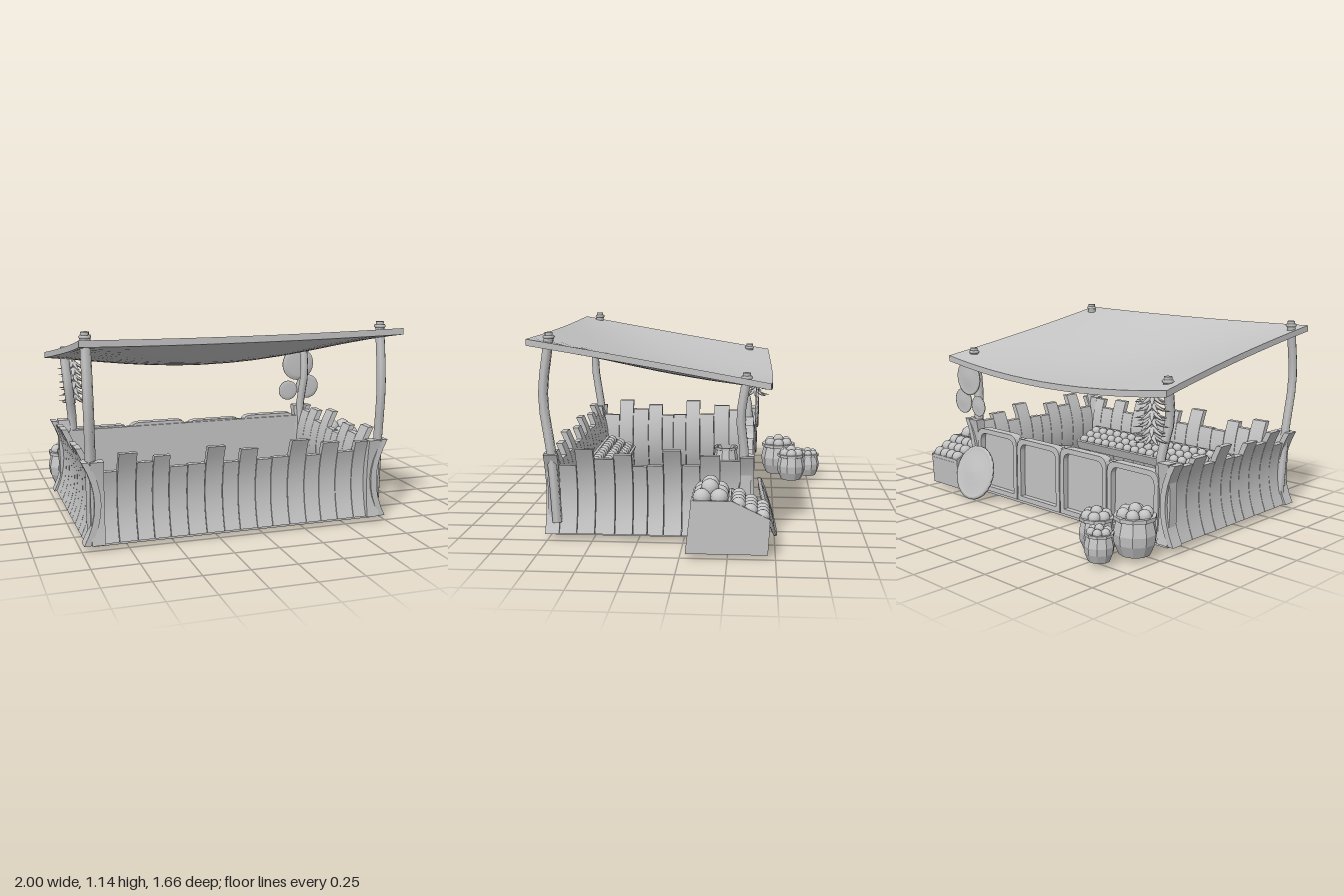
import * as THREE from 'three';

const gray = new THREE.MeshStandardMaterial({ color: 0xc4c4c4 });
gray.name = 'plain grey';
const facetMat = gray;

const V = (x, y, z) => new THREE.Vector3(x, y, z);

function add(parent, geo, name, x = 0, y = 0, z = 0) {
  const m = new THREE.Mesh(geo, facetMat);
  m.name = name;
  m.position.set(x, y, z);
  parent.add(m);
  return m;
}

function group(parent, name, x = 0, y = 0, z = 0) {
  const g = new THREE.Group();
  g.name = name;
  g.position.set(x, y, z);
  parent.add(g);
  return g;
}

const box = (w, h, d) => new THREE.BoxGeometry(w, h, d);
const ball = (r) => new THREE.SphereGeometry(r, 12, 8);

// Upright board from a to b whose outer face (+z) is pinched in at mid height
function plank(parent, a, b, top, bend, name = 'plank', depth = 0.035) {
  const bottom = 0.04, h = top - bottom;
  const geo = box(b - a - 0.003, h, depth).toNonIndexed();
  const g2 = new THREE.BoxGeometry(b - a - 0.003, h, depth, 1, 8, 1);
  geo.dispose();
  const p = g2.attributes.position;
  for (let i = 0; i < p.count; i++) {
    const t = (p.getY(i) + h / 2) / 0.44 * 2 - 1;
    p.setZ(i, p.getZ(i) - depth / 2 + bend * (t * t - 1));
  }
  g2.computeVertexNormals();
  return add(parent, g2, name, (a + b) / 2, bottom + h / 2, 0);
}

// Row of boards given as [start, top] pairs ending at `end`
function plankWall(parent, rows, end, bend) {
  rows.forEach(([a, top], i) => plank(parent, a, i + 1 < rows.length ? rows[i + 1][0] : end, top, bend));
}

function pot(parent, name, x, y, z, r, h, fruitR) {
  const g = group(parent, name, x, y, z);
  const pts = [[0, 0], [0.72, 0], [0.95, 0.3], [1, 0.55], [0.86, 0.88], [0.98, 0.9], [0.98, 1], [0.8, 1], [0.76, 0.8], [0, 0.8]]
    .map(([a, b]) => new THREE.Vector2(a * r, b * h));
  const geo = new THREE.LatheGeometry(pts, 10).toNonIndexed();
  geo.computeVertexNormals();
  add(g, geo, 'pot body');
  if (!fruitR) return;
  // Heap of round fruit
  add(g, ball(fruitR), 'fruit', 0, h + fruitR * 0.75, 0);
  for (let i = 0; i < 6; i++) {
    const a = i * Math.PI / 3;
    add(g, ball(fruitR), 'fruit', Math.cos(a) * r * 0.55, h + fruitR * 0.15, Math.sin(a) * r * 0.55);
  }
}

function plate(parent, x, y, z, r, tilt) {
  const pts = [[0, -0.04], [0.7, -0.04], [1, 0.02], [1, 0.1], [0.9, 0.12], [0.8, 0.08], [0.45, 0.13], [0, 0.15]]
    .map(([a, b]) => new THREE.Vector2(a * r, b * r));
  const m = add(parent, new THREE.LatheGeometry(pts, 24), 'round plate', x, y, z);
  m.rotation.x = -Math.PI / 2 + tilt;
}

// Height of the sagging canopy at u (-1..1 across) and v (0 back..1 front)
function roofY(u, v) {
  const sag = 0.01 + 0.05 * (1 - v) + 0.25 * v * (1 - v);
  return 0.895 + 0.225 * v - sag * (1 - u * u);
}

function buildRoof(root) {
  const geo = new THREE.BoxGeometry(2, 0.035, 1.3, 12, 1, 12);
  const p = geo.attributes.position;
  for (let i = 0; i < p.count; i++) {
    const u = p.getX(i), v = p.getZ(i) / 1.3 + 0.5;
    const half = 0.862 + 0.028 * (2 * v - 1) ** 2;
    p.setXYZ(i, -0.11 + u * half, roofY(u, v) + p.getY(i) - 0.0175, -0.47 + 1.3 * v + 0.02 * (1 - u * u) * (v < 0.01 ? -1 : 0));
  }
  geo.computeVertexNormals();
  add(root, geo, 'canopy');
}

function buildPost(root, pts) {
  const curve = new THREE.CatmullRomCurve3(pts);
  add(root, new THREE.TubeGeometry(curve, 10, 0.028, 6), 'roof post');
  const top = pts[pts.length - 1];
  const knob = group(root, 'post knob', top.x, top.y, top.z);
  add(knob, new THREE.CylinderGeometry(0.022, 0.022, 0.06, 8), 'peg');
  const tie = add(knob, new THREE.TorusGeometry(0.023, 0.01, 6, 10), 'rope tie', 0, 0.005, 0);
  tie.rotation.x = Math.PI / 2;
}

export function createModel() {
  const root = new THREE.Group();
  root.name = 'marketStall';

  add(root, box(1.61, 0.025, 1.08), 'floor', -0.125, 0.0325, 0.18);

  // Front and side walls of uneven boards
  const front = group(root, 'frontWall', 0, 0, 0.75);
  plankWall(front, [[-0.89, 0.42], [-0.8, 0.52], [-0.7, 0.46], [-0.61, 0.49], [-0.52, 0.42], [-0.42, 0.425], [-0.32, 0.52],
    [-0.22, 0.42], [-0.13, 0.49], [-0.03, 0.42], [0.06, 0.425], [0.16, 0.52], [0.26, 0.42], [0.35, 0.49], [0.45, 0.425], [0.55, 0.48]], 0.63, 0.045);
  const side = [[-0.69, 0.42], [-0.59, 0.52], [-0.49, 0.46], [-0.38, 0.49], [-0.28, 0.42], [-0.2, 0.425], [-0.11, 0.52],
    [-0.01, 0.43], [0.09, 0.49], [0.2, 0.46]];
  const left = group(root, 'leftWall', 0.725, 0, 0);
  left.rotation.y = Math.PI / 2;
  plankWall(left, side, 0.31, 0.05);
  const right = group(root, 'rightWall', -0.975, 0, 0);
  right.rotation.y = -Math.PI / 2;
  plankWall(right, side.map(([a, t], i) => [i + 1 < side.length ? -side[i + 1][0] : -0.31, t]).reverse(), 0.69, 0.05);

  // Corner boards, two at each corner
  for (const s of [-1, 1]) {
    const flank = group(root, 'cornerBoards', s > 0 ? 0.74 : -0.99, 0, 0);
    flank.rotation.y = s * Math.PI / 2;
    for (const [z0, z1] of [[0.685, 0.765], [-0.385, -0.305]]) {
      plank(flank, s > 0 ? -z1 : z0, s > 0 ? -z0 : z1, 0.485, 0.06, 'corner board');
    }
    const x0 = s > 0 ? 0.625 : -0.95, x1 = s > 0 ? 0.7 : -0.875;
    plank(group(root, 'frontCorner', 0, 0, 0.77), x0, x1, 0.485, 0.02, 'corner board', 0.06);
    const rear = group(root, 'backCorner', 0, 0, -0.385);
    rear.rotation.y = Math.PI;
    plank(rear, -x1, -x0, 0.485, 0.02, 'corner board', 0.06);
  }

  // Back counter with four arched frames
  const back = group(root, 'backCounter');
  add(back, box(1.52, 0.38, 0.03), 'counter panel', -0.125, 0.23, -0.325);
  const roundRect = (path, w, h, r) => {
    path.moveTo(-w, 0);
    path.lineTo(w, 0);
    path.lineTo(w, h - r);
    path.quadraticCurveTo(w, h, w - r, h);
    path.lineTo(-w + r, h);
    path.quadraticCurveTo(-w, h, -w, h - r);
    path.closePath();
    return path;
  };
  for (let i = 0; i < 4; i++) {
    const h = 0.39 + 0.01 * (i % 2);
    const shape = roundRect(new THREE.Shape(), 0.185, h, 0.06);
    const hole = new THREE.Path(roundRect(new THREE.Path(), 0.155, h - 0.06, 0.05).getPoints(6).map((q) => q.setY(q.y + 0.03)));
    shape.holes.push(hole);
    add(back, new THREE.ExtrudeGeometry(shape, { depth: 0.055, bevelEnabled: false, curveSegments: 5 }), 'counter frame',
      -0.69 + i * 0.378, 0.04, -0.375);
  }

  // Canopy and bent posts
  buildRoof(root);
  for (const x of [-0.95, 0.69]) {
    buildPost(root, [V(x + 0.015, 0.1, 0.7), V(x + 0.01, 0.48, 0.725), V(x, 0.8, 0.765), V(x, 1.12, 0.725)]);
  }
  buildPost(root, [V(-0.87, 0.1, -0.31), V(-0.86, 0.48, -0.34), V(-0.885, 0.7, -0.3), V(-0.9, 0.91, -0.34)]);
  buildPost(root, [V(0.66, 0.1, -0.31), V(0.67, 0.48, -0.33), V(0.69, 0.7, -0.31), V(0.69, 0.91, -0.34)]);

  // Hanging string of curved peppers
  const peppers = group(root, 'pepperString', -0.835, 0, -0.385);
  add(peppers, new THREE.CylinderGeometry(0.008, 0.008, 0.3, 6), 'string', 0, 0.73, 0);
  const pepper = new THREE.ConeGeometry(0.016, 0.1, 6, 4);
  pepper.rotateZ(-Math.PI / 2);
  const pp = pepper.attributes.position;
  for (let i = 0; i < pp.count; i++) {
    const t = pp.getX(i) + 0.05;
    pp.setXYZ(i, t, pp.getY(i) - 0.9 * t + 5 * t * t, pp.getZ(i));
  }
  pepper.computeVertexNormals();
  for (let k = 0; k < 6; k++) {
    for (let j = 0; j < 7; j++) {
      add(peppers, pepper, 'pepper', 0, 0.63 + k * 0.042, 0).rotation.y = j * Math.PI * 2 / 7 + k * 0.45;
    }
  }

  // Plates hung at the back post and one leaning on the counter
  plate(root, 0.68, 0.755, -0.39, 0.11, 0);
  plate(root, 0.605, 0.58, -0.38, 0.065, 0);
  plate(root, 0.745, 0.6, -0.385, 0.08, 0);
  plate(root, 0.56, 0.168, -0.45, 0.17, 0.3);

  // Fruit crate with a level and a sloping bay
  const crate = group(root, 'fruitCrate');
  const cs = new THREE.Shape([[0.03, 0.03], [0.06, 0.3], [0.26, 0.3], [0.47, 0.2], [0.46, 0.03]].map(([a, b]) => new THREE.Vector2(a, b)));
  const crateGeo = new THREE.ExtrudeGeometry(cs, { depth: 0.265, bevelEnabled: false });
  crateGeo.rotateY(Math.PI / 2);
  add(crate, crateGeo, 'crate body', 0.732, 0, 0);
  for (const x of [0.737, 0.992]) {
    add(crate, box(0.012, 0.02, 0.2), 'rim', x, 0.305, -0.16);
    add(crate, box(0.012, 0.02, 0.23), 'rim', x, 0.26, -0.365).rotation.x = -0.445;
  }
  for (const [y, z] of [[0.305, -0.066], [0.305, -0.26], [0.21, -0.463]]) add(crate, box(0.265, 0.022, 0.012), 'rim', 0.865, y, z);
  for (let i = 0; i < 3; i++) {
    for (let j = 0; j < 2; j++) add(crate, ball(0.048), 'large fruit', 0.785 + i * 0.08, 0.32, -0.115 - j * 0.09);
    if (i < 2) add(crate, ball(0.048), 'large fruit', 0.825 + i * 0.08, 0.362, -0.155);
  }
  for (let i = 0; i < 4; i++) {
    for (let j = 0; j < 3; j++) add(crate, ball(0.038), 'small fruit', 0.772 + i * 0.063, 0.29 - j * 0.031, -0.305 - j * 0.063);
  }

  // Display shelf along the inside of the front wall
  const shelf = group(root, 'displayShelf', -0.1, 0.22, 0.57);
  shelf.rotation.x = -0.35;
  shelf.rotation.x *= 1;
  add(shelf, box(1.35, 0.03, 0.2), 'shelf board');
  for (const z of [-0.1, 0.1]) add(shelf, box(1.35, 0.06, 0.015), 'shelf rail', 0, 0.01, z);
  for (let i = 0; i < 5; i++) add(shelf, box(0.015, 0.06, 0.2), 'divider', -0.67 + i * 0.335, 0.01, 0);
  for (let i = 0; i < 20; i++) {
    for (let j = 0; j < 3; j++) add(shelf, ball(0.031), 'fruit', -0.635 + i * 0.067, 0.032, -0.062 + j * 0.062);
  }
  for (const x of [-0.65, 0.45]) add(root, box(0.04, 0.18, 0.12), 'shelf leg', x, 0.125, 0.58);

  // Pots outside and inside the stall
  pot(root, 'largePot', -0.87, 0.03, -0.55, 0.118, 0.21, 0.036);
  pot(root, 'mediumPot', -0.675, 0.03, -0.635, 0.095, 0.175, 0.034);
  pot(root, 'smallPot', -0.81, 0.03, -0.755, 0.08, 0.15, 0.025);
  pot(root, 'insidePot', -0.84, 0.045, -0.18, 0.085, 0.17, 0);
  pot(root, 'insidePot', 0.5, 0.045, 0.25, 0.095, 0.17, 0);
  return root;
}
